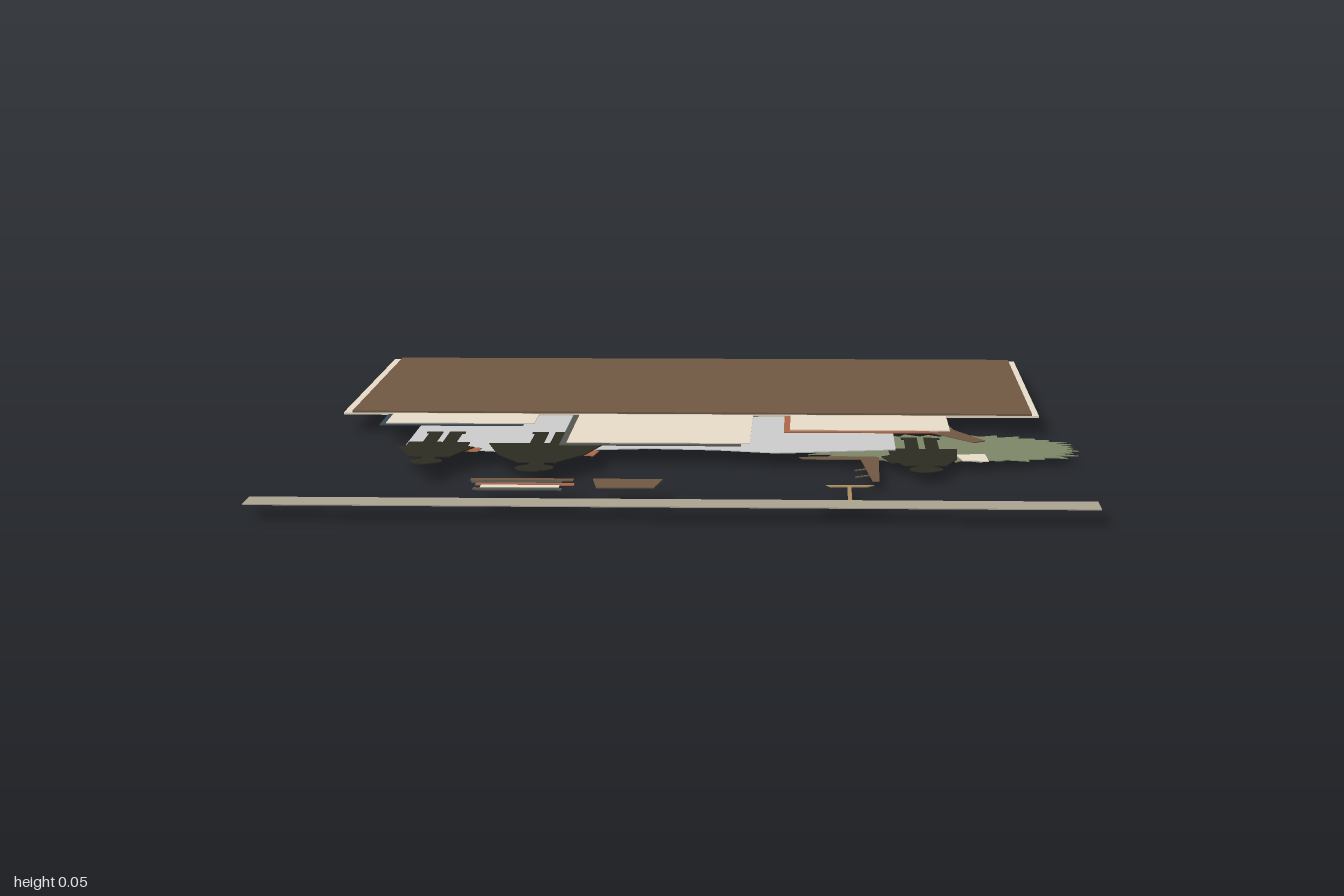
import * as THREE from 'three';

const mat = (name, color) => Object.assign(new THREE.MeshStandardMaterial({ color }), { name });
const M = {
  brown: mat('walnut brown', 0x6f5843), cream: mat('paper cream', 0xe6dbc8),
  grey: mat('page grey', 0xcbcbcc), dark: mat('silhouette black', 0x2b2b21),
  slate: mat('slate', 0x53554f), rust: mat('rust', 0xaa6647),
  navy: mat('dull navy', 0x3a4954), olive: mat('leaf green', 0x7d8667),
  tan: mat('ground tan', 0xaba28f), amber: mat('lamp amber', 0xa98c5c),
};

// Flat cut-out in the x/z plane whose upper face lies at height y
function plate(parent, name, pts, y, material, t = 0.002) {
  const shape = new THREE.Shape(pts.map(([x, z]) => new THREE.Vector2(x, z)));
  const geo = new THREE.ExtrudeGeometry(shape, { depth: t, bevelEnabled: false });
  geo.rotateX(Math.PI / 2);
  const mesh = new THREE.Mesh(geo, material);
  mesh.position.y = y;
  mesh.name = name;
  parent.add(mesh);
  return mesh;
}
const rect = (x0, x1, z0, z1) => [[x0, z0], [x1, z0], [x1, z1], [x0, z1]];
function ring(cx, cz, rx, rz, n, jag = () => 1) {
  return Array.from({ length: n }, (_, i) => {
    const a = (i / n) * Math.PI * 2, k = jag(i);
    return [cx + Math.cos(a) * rx * k, cz + Math.sin(a) * rz * k];
  });
}
function group(parent, name) {
  const g = new THREE.Group();
  g.name = name;
  parent.add(g);
  return g;
}
function seeded(seed) {
  return () => (seed = (seed * 16807) % 2147483647) / 2147483647;
}

function bookcase(root) {
  const g = group(root, 'bookcase'), rnd = seeded(71);
  plate(g, 'backBoard', [[-0.765, -0.99], [0.728, -1], [0.728, -0.095], [-0.765, -0.095]], 0.045, M.brown, 0.004);
  plate(g, 'frame', [[-0.784, -0.99], [0.743, -1], [0.743, -0.095], [-0.784, -0.095]], 0.041, M.cream, 0.005);
  // shelves full of spines on the underside
  const spines = [M.brown, M.dark, M.navy, M.rust, M.slate, M.brown, M.dark];
  const bays = [[-0.765, -0.29], [-0.265, 0.225], [0.25, 0.725]];
  for (let row = 0; row < 4; row++) {
    const z0 = -0.965 + row * 0.218, z1 = z0 + 0.197;
    bays.forEach(([x0, x1], bay) => {
      if (bay === 1 && row >= 2) return;
      plate(g, 'shelfRecess', rect(x0, x1, z0, z1), 0.036, M.slate, 0.001);
      for (let x = x0 + 0.006; x < x1 - 0.02;) {
        const w = Math.min(0.016 + rnd() * 0.022, x1 - x - 0.004);
        const h = 0.13 + rnd() * 0.05;
        plate(g, 'bookSpine', rect(x, x + w, z1 - h, z1 - 0.004), 0.035, spines[Math.floor(rnd() * 7)]);
        x += w + 0.003;
      }
    });
  }
  plate(g, 'doorway', rect(-0.265, 0.225, -0.529, -0.114), 0.036, M.slate);
  plate(g, 'doorwayShade', rect(-0.245, 0.205, -0.51, -0.114), 0.034, M.dark, 0.001);
}

// Large closed books lying below the bookcase: cover underneath, pages on top
function largeBooks(root) {
  const g = group(root, 'largeBooks');
  [
    [M.navy, [-0.685, -0.375, -0.3, 0.06], [-0.673, -0.352, -0.3, 0.042]],
    [M.slate, [-0.277, 0.1, -0.3, 0.32], [-0.263, 0.118, -0.3, 0.3]],
    [M.rust, [0.187, 0.515, -0.3, 0.132], [0.2, 0.54, -0.3, 0.113]],
  ].forEach(([m, cover, pages]) => {
    plate(g, 'bookCover', rect(...cover), 0.038, m);
    plate(g, 'bookPages', rect(...pages), 0.04, M.cream);
  });
}

function openBook(root) {
  const g = group(root, 'openBook');
  plate(g, 'pages', [[-0.6, -0.28], [-0.4, -0.23], [-0.09, -0.27], [0.17, -0.23], [0.42, -0.28],
    [0.42, 0.31], [0.3, 0.335], [0.18, 0.362], [0.05, 0.325], [-0.09, 0.31],
    [-0.25, 0.34], [-0.4, 0.36], [-0.5, 0.33], [-0.6, 0.285]], 0.03, M.grey);
  plate(g, 'spineFold', rect(-0.093, -0.087, -0.265, 0.308), 0.028, M.slate, 0.001);
  for (const [x0, x1] of [[-0.54, -0.15], [-0.03, 0.36]])
    for (let i = 0; i < 9; i++) {
      const z = -0.19 + i * 0.053;
      plate(g, 'ruledLine', rect(x0 + (i % 3) * 0.015, x1 - (i % 4) * 0.02, z, z + 0.008), 0.028, M.dark, 0.001);
    }
}

// Standing silhouette whose head points towards +z
function figure(root, x, y, head, r, shoulder, hem, halfTop, halfHem, feet) {
  const g = group(root, 'figure');
  const mid = (shoulder + hem) / 2 + 0.02;
  plate(g, 'head', ring(x, head, r, r * 1.05, 20), y, M.dark);
  plate(g, 'neck', rect(x - r * 0.4, x + r * 0.4, shoulder - 0.01, head), y, M.dark);
  plate(g, 'coat', [[x - halfHem, hem], [x + halfHem, hem], [x + (halfHem + halfTop) / 2 + 0.01, mid],
    [x + halfTop, shoulder], [x - halfTop, shoulder], [x - (halfHem + halfTop) / 2 - 0.01, mid]], y, M.dark);
  for (const s of [-1, 1]) {
    plate(g, 'leg', rect(x + s * 0.021 - 0.014, x + s * 0.021 + 0.014, feet, hem + 0.01), y, M.dark);
    plate(g, 'foot', rect(x + s * 0.024 - 0.017, x + s * 0.024 + 0.017, feet, feet + 0.018), y, M.dark);
  }
  return g;
}

function figures(root) {
  const a = figure(root, -0.53, 0.036, 0.525, 0.033, 0.47, 0.28, 0.042, 0.064, 0.14);
  for (const s of [-1, 1])
    plate(a, 'arm', [[-0.53 + s * 0.045, 0.45], [-0.53 + s * 0.08, 0.345], [-0.53 + s * 0.066, 0.335],
      [-0.53 + s * 0.035, 0.42]], 0.036, M.dark);
  plate(a, 'heldBook', [[-0.465, 0.335], [-0.435, 0.345], [-0.44, 0.39], [-0.47, 0.38]], 0.034, M.rust);
  const b = figure(root, -0.305, 0.036, 0.6, 0.039, 0.535, 0.29, 0.038, 0.12, 0.14);
  plate(b, 'heldBook', [[-0.23, 0.365], [-0.19, 0.37], [-0.198, 0.435], [-0.235, 0.42]], 0.034, M.rust);
  const c = figure(root, 0.477, 0.022, 0.508, 0.034, 0.465, 0.25, 0.042, 0.072, 0.1);
  plate(c, 'arm', [[0.41, 0.44], [0.39, 0.35], [0.41, 0.33], [0.44, 0.42]], 0.022, M.dark);
  plate(c, 'heldBook', [[0.545, 0.31], [0.605, 0.3], [0.608, 0.39], [0.555, 0.385]], 0.02, M.cream);
}

function tree(root) {
  const g = group(root, 'tree'), rnd = seeded(19);
  const jag = (i) => (i % 2 ? 0.85 + rnd() * 0.06 : 0.95 + rnd() * 0.1);
  // squarish outline with leafy points
  const bulge = (i) => jag(i) * (1 + 0.07 * Math.sin((i / 76) * Math.PI * 4) ** 2);
  plate(g, 'crown', ring(0.52, 0.205, 0.29, 0.18, 76, bulge), 0.017, M.olive);
  // overlapping leaf clumps underneath
  [[0.5, 0.21, 0.2, 0.11, 0.012], [0.6, 0.17, 0.12, 0.08, 0.008], [0.46, 0.22, 0.13, 0.07, 0.002]]
    .forEach(([x, z, rx, rz, y]) => plate(g, 'leafClump', ring(x, z, rx, rz, 44, jag), y, M.olive));
  plate(g, 'trunk', [[0.46, -0.285], [0.52, -0.285], [0.555, -0.03], [0.615, 0.115], [0.59, 0.14], [0.5, 0.0]], 0.019, M.brown);
}

function branch(root) {
  const g = group(root, 'bareBranch');
  plate(g, 'stem', [[0.345, 0.335], [0.385, 0.335], [0.38, 0.63], [0.367, 0.63]], 0.018, M.brown);
  plate(g, 'crossLimb', [[0.22, 0.338], [0.38, 0.33], [0.38, 0.365], [0.23, 0.362]], 0.018, M.brown);
  for (const z of [0.47, 0.55])
    plate(g, 'twig', [[0.365, z], [0.365, z + 0.012], [0.335, z + 0.035], [0.333, z + 0.028]], 0.018, M.brown);
}

function tableItems(root) {
  plate(root, 'groundStrip', rect(-0.82, 0.785, 0.918, 1), 0.03, M.tan);

  const stack = group(root, 'bookStack');
  [
    [M.brown, -0.415, -0.215, 0.75, 0.773], [M.slate, -0.41, -0.235, 0.778, 0.8],
    [M.rust, -0.4, -0.21, 0.803, 0.824], [M.cream, -0.388, -0.237, 0.827, 0.855],
    [M.slate, -0.4, -0.23, 0.858, 0.88],
  ].forEach(([m, ...r]) => plate(stack, 'stackedBook', rect(...r), 0.04, m));

  plate(root, 'basket', [[-0.178, 0.752], [-0.042, 0.75], [-0.055, 0.85], [-0.165, 0.852]], 0.04, M.brown);

  const lamp = group(root, 'lamp');
  plate(lamp, 'lampTop', [[0.275, 0.667], [0.37, 0.663], [0.355, 0.685], [0.285, 0.688]], 0.016, M.amber);
  plate(lamp, 'lampPole', rect(0.316, 0.324, 0.685, 0.88), 0.0165, M.amber);
  plate(lamp, 'lampBase', [[0.25, 0.852], [0.39, 0.852], [0.37, 0.92], [0.27, 0.92]], 0.016, M.slate);
}

export function createModel() {
  const root = new THREE.Group();
  root.name = 'layeredLibraryScene';
  [bookcase, largeBooks, openBook, figures, tree, branch, tableItems].forEach((build) => build(root));
  return root;
}
